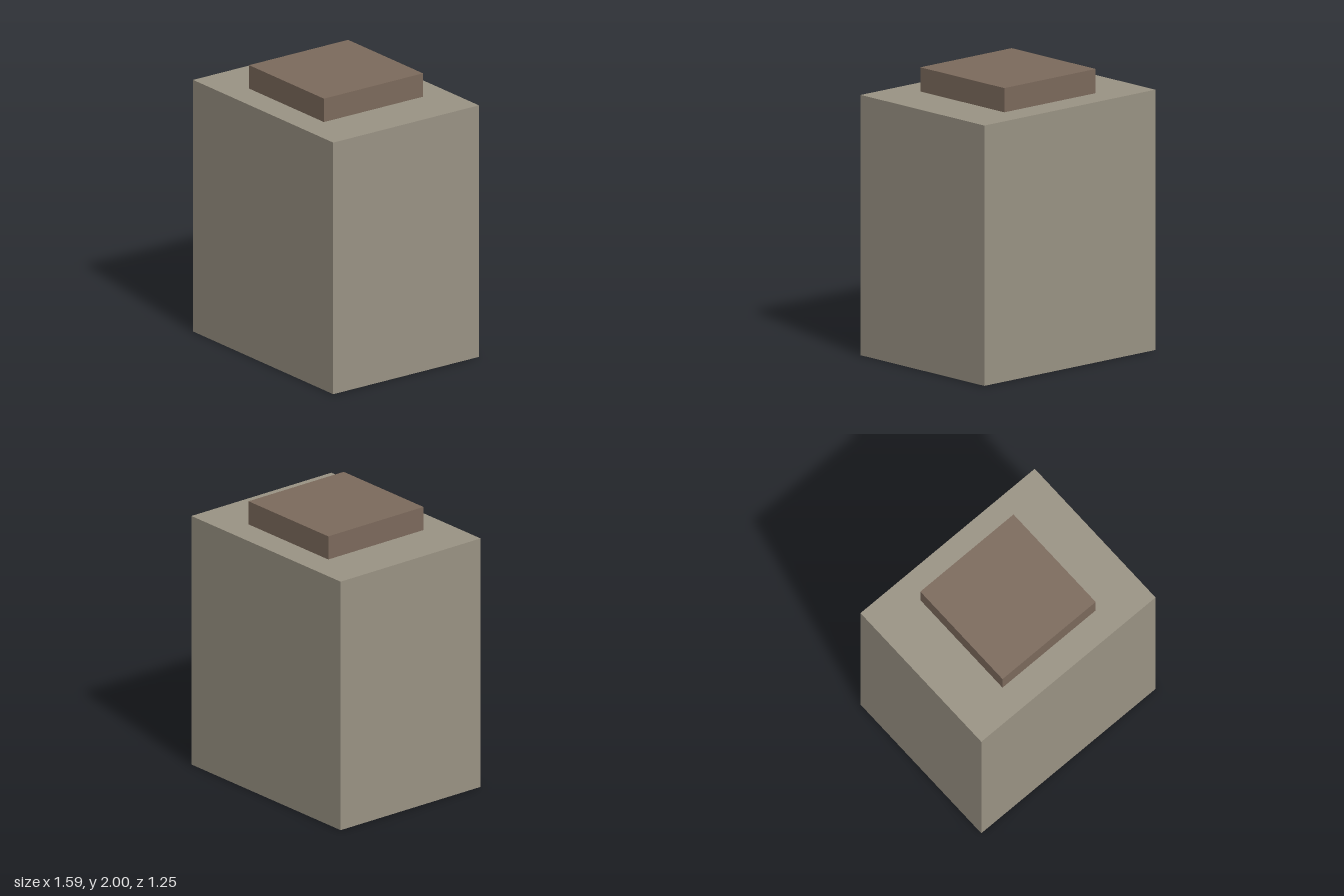
import * as THREE from 'three';

// Box standing on height y, centred on x and z
function block(name, width, height, depth, y, color) {
  const mesh = new THREE.Mesh(
    new THREE.BoxGeometry(width, height, depth),
    new THREE.MeshStandardMaterial({ color })
  );
  mesh.name = name;
  mesh.position.y = y + height / 2;
  return mesh;
}

export function createModel() {
  const model = new THREE.Group();
  model.name = 'cappedBlock';

  const bodyHeight = 1.83;
  // Main body
  model.add(block('body', 1.59, bodyHeight, 1.25, 0, 0x9a9384));
  // Square cap on top
  model.add(block('cap', 0.85, 2 - bodyHeight, 0.85, bodyHeight, 0x7c6a5c));

  return model;
}
